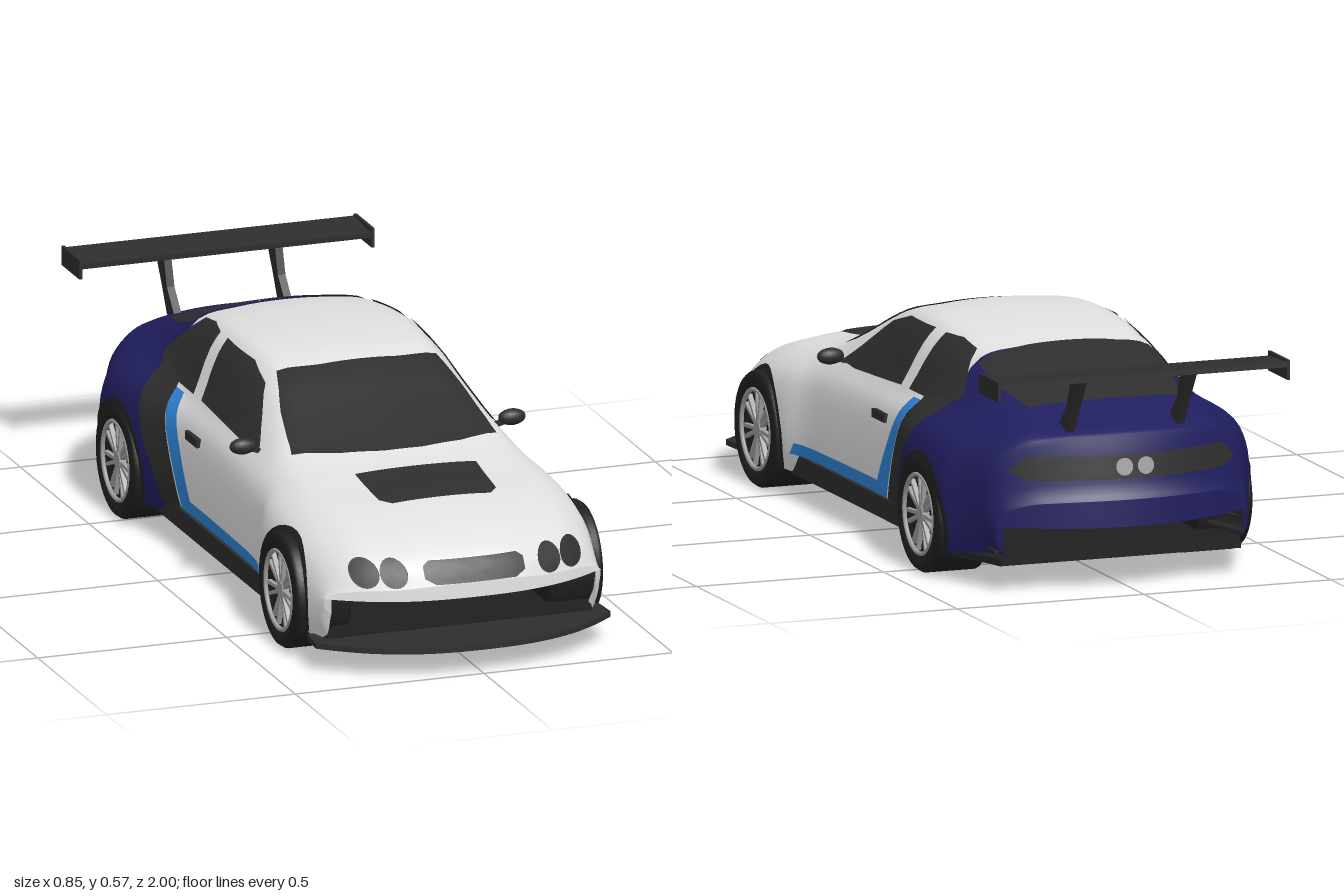
import * as THREE from 'three';
import { mergeVertices } from 'three/addons/utils/BufferGeometryUtils.js';

const paint = (name, color) => new THREE.MeshStandardMaterial({ name, color, side: THREE.DoubleSide });
const white = paint('white paint', 0xe0e0e0), navy = paint('navy paint', 0x201e5e);
const azure = paint('azure stripe', 0x2f86d8), dark = paint('dark trim', 0x2e2e2e);
const rubber = paint('rubber', 0x1f1f1f), silver = paint('silver', 0xa0a0a0);

// Smooth, overshoot-free curve through [z, value] pairs
function profile(p) {
  const slope = i => (p[i + 1][1] - p[i][1]) / (p[i + 1][0] - p[i][0]);
  const tangent = i => {
    if (i === 0) return slope(0);
    if (i === p.length - 1) return slope(i - 1);
    const a = slope(i - 1), b = slope(i);
    return a * b <= 0 ? 0 : 2 * a * b / (a + b);
  };
  return z => {
    let i = 0;
    while (i < p.length - 2 && z > p[i + 1][0]) i++;
    const h = p[i + 1][0] - p[i][0], t = THREE.MathUtils.clamp((z - p[i][0]) / h, 0, 1), s = 1 - t;
    return p[i][1] * (1 + 2 * t) * s * s + p[i + 1][1] * t * t * (3 - 2 * t)
      + h * (tangent(i) * t * s * s - tangent(i + 1) * t * t * s);
  };
}

// Body lines along the car: flank width, floor, centre ridge, window base, roof edge
const flank = profile([[-.96, .335], [-.8, .385], [-.68, .41], [-.55, .415], [-.42, .408], [-.32, .385], [-.2, .366],
  [0, .362], [.3, .364], [.38, .37], [.46, .39], [.6, .395], [.75, .393], [.95, .365]]);
const floorY = profile([[-.96, .1], [-.7, .075], [.88, .07], [.93, .09], [.95, .15]]);
const ridge = profile([[-.96, .235], [-.95, .25], [-.935, .3], [-.93, .36], [-.92, .39], [-.77, .44], [-.6, .5],
  [-.45, .547], [-.3, .568], [-.14, .576], [0, .568], [.09, .547], [.25, .475], [.38, .42], [.44, .402], [.5, .392],
  [.69, .368], [.81, .338], [.89, .3], [.93, .265], [.95, .225]]);
const beltY = profile([[-.96, .225], [-.95, .24], [-.935, .285], [-.93, .34], [-.91, .375], [-.85, .395], [-.6, .41],
  [-.45, .405], [-.2, .395], [0, .39], [.25, .38], [.42, .37], [.6, .355], [.8, .32], [.89, .285], [.93, .25], [.95, .212]]);
const beltX = profile([[-.96, .26], [-.75, .275], [-.6, .3], [-.45, .315], [-.2, .322], [.25, .32], [.42, .31], [.6, .3], [.95, .28]]);
const edgeX = profile([[-.96, .2], [-.75, .2], [-.6, .215], [-.45, .225], [-.2, .235], [.07, .225], [.25, .25], [.345, .27],
  [.45, .26], [.6, .2], [.95, .2]]);
const edgeDrop = profile([[-.96, .004], [-.9, .008], [-.75, .012], [-.6, .024], [-.45, .027], [.09, .025], [.25, .027],
  [.345, .03], [.42, .02], [.5, .014], [.95, .009]]);

// Rounds the nose and tail in plan
function bend(x, z) {
  const s = THREE.MathUtils.smoothstep;
  return z - .13 * s(z, .5, .95) * (Math.abs(x) / .39) ** 2.5 + .13 * s(-z, .6, .96) * (Math.abs(x) / .36) ** 2;
}

const WHEELS = [[.614, .3325], [-.53, .3475]];
const COLS = 56, ROWS = 92;

function bodyGeometry() {
  const pos = [], add = (x, y, z) => pos.push(x, y, bend(x, z));
  const section = (z, squash) => {
    const y0 = floorY(z), yb = beltY(z), w = flank(z), xb = beltX(z), yr = ridge(z), xe = edgeX(z), d = edgeDrop(z);
    const up = f => y0 + f * (yb - y0);
    const half = [[w - .015, y0], [w, up(.2)], [w, up(.6)], [xb + (w - xb) * .72, up(.84)], [xb, yb],
      [xe, yr - d], [xe * .55, yr - d * .25]];
    const ring = [...half, [0, yr], ...half.slice().reverse().map(([x, y]) => [-x, y])];
    const curve = new THREE.CatmullRomCurve3(ring.map(([x, y]) => new THREE.Vector3(x, y, 0)));
    for (let j = 0; j <= COLS; j++) {
      const p = curve.getPoint(j / COLS);
      add(p.x, squash ? (y0 + yr) / 2 : p.y, z + (squash || 0));
    }
  };
  section(-.96, -.003);
  for (let i = 0; i <= ROWS; i++) {
    let z = -.005 - .955 * Math.cos(Math.PI * i / ROWS);
    if (Math.abs(z + .46) < .016) z = -.46;
    section(z);
  }
  section(.95, .003);
  // Sort faces: white front, navy rear, open wheel wells
  const front = [], rear = [], well = [];
  const face = (...t) => {
    const [x, y, z] = [0, 1, 2].map(k => (pos[t[0] * 3 + k] + pos[t[1] * 3 + k] + pos[t[2] * 3 + k]) / 3);
    const split = y > .41 ? -.46 : -.23 - (y - .12) * .6;
    const inWell = Math.abs(x) > .3 && WHEELS.some(([wz]) => Math.hypot(z - wz, y - .15) < .12);
    (inWell ? well : z < split ? rear : front).push(...t);
  };
  for (let i = 0; i < ROWS + 2; i++) for (let j = 0; j < COLS; j++) {
    const a = i * (COLS + 1) + j, b = a + COLS + 1;
    face(a, a + 1, b);
    face(a + 1, b + 1, b);
  }
  const geo = new THREE.BufferGeometry();
  geo.setAttribute('position', new THREE.Float32BufferAttribute(pos, 3));
  geo.setIndex([...front, ...rear, ...well]);
  geo.computeVertexNormals();
  const probe = new THREE.Mesh(geo.clone(), white);
  geo.setIndex([...front, ...rear]);
  geo.addGroup(0, front.length, 0);
  geo.addGroup(front.length, rear.length, 1);
  return { geo, probe };
}

export function createModel() {
  const car = new THREE.Group();
  car.name = 'raceCar';
  const add = (name, geo, mat, parent = car) => {
    const m = new THREE.Mesh(geo, mat);
    m.name = name;
    parent.add(m);
    return m;
  };
  const box = (name, mat, size, at, parent) => {
    const m = add(name, new THREE.BoxGeometry(...size), mat, parent);
    m.position.set(...at);
    return m;
  };
  const shapeOf = pts => new THREE.Shape(pts.map(p => new THREE.Vector2(...p)));
  const { geo, probe } = bodyGeometry();
  add('bodyShell', geo, [white, navy]);

  // Thin panels laid onto the body along a viewing direction
  const views = {
    side: [(u, v) => [2, v, u], [-1, 0, 0]], top: [(u, v) => [u, 2, v], [0, -1, 0]],
    front: [(u, v) => [u, v, 2], [0, 0, -1]], back: [(u, v) => [u, v, -2], [0, 0, 1]],
  };
  const ray = new THREE.Raycaster();
  function panel(name, view, shape, mat, mirror = false, lift = .004) {
    const flat = new THREE.ShapeGeometry(Array.isArray(shape) ? shapeOf(shape) : shape, 10).toNonIndexed();
    const p = flat.attributes.position, tris = [];
    const split = (a, b, c) => {
      const l = [a.distanceTo(b), b.distanceTo(c), c.distanceTo(a)], m = Math.max(...l);
      if (m < .034) return tris.push(a, b, c);
      if (l[1] === m) [a, b, c] = [b, c, a];
      else if (l[2] === m) [a, b, c] = [c, a, b];
      const mid = a.clone().add(b).multiplyScalar(.5);
      split(a, mid, c);
      split(mid, b, c);
    };
    const vert = i => new THREE.Vector3().fromBufferAttribute(p, i);
    for (let i = 0; i < p.count; i += 3) split(vert(i), vert(i + 1), vert(i + 2));
    const g = mergeVertices(new THREE.BufferGeometry().setFromPoints(tris), 1e-5);
    const q = g.attributes.position, [at, dir] = views[view];
    let last = new THREE.Vector3(...at(q.getX(0), q.getY(0))).multiplyScalar(.4);
    for (let i = 0; i < q.count; i++) {
      for (const e of [0, 1e-3, -1e-3, 4e-3]) {
        ray.set(new THREE.Vector3(...at(q.getX(i) + e, q.getY(i) + e)), new THREE.Vector3(...dir));
        const hit = ray.intersectObject(probe, false)[0];
        if (hit) { last = hit.point.clone().addScaledVector(hit.face.normal, lift); break; }
      }
      q.setXYZ(i, last.x, last.y, last.z);
    }
    const flip = h => h.setIndex(Array.from(h.index.array).reverse());
    if (view !== 'front') flip(g);
    g.computeVertexNormals();
    add(name, g, mat);
    if (mirror) {
      const h = g.clone().scale(-1, 1, 1);
      flip(h);
      h.computeVertexNormals();
      add(name + 'Right', h, mat);
    }
  }
  const both = pts => [...pts, ...pts.slice().reverse().map(([x, y]) => [-x, y])];
  const disc = (x, y, r) => new THREE.Shape().absarc(x, y, r, 0, Math.PI * 2);

  // Glass
  panel('windscreen', 'top', both([[.1, .085], [.21, .07], [.245, .2], [.27, .345], [.16, .39], [.05, .41]]), dark);
  panel('rearWindow', 'top', both([[.1, -.465], [.235, -.475], [.232, -.6], [.2, -.73], [.08, -.745]]), dark);
  panel('doorWindow', 'side', [[.24, .386], [.18, .43], [.08, .51], [-.02, .54], [-.2, .545], [-.17, .4], [.14, .383]], dark, true);
  panel('quarterWindow', 'side', [[-.26, .543], [-.225, .4], [-.35, .4], [-.505, .42], [-.51, .435], [-.42, .53], [-.34, .543]], dark, true);
  // Side stripes and wheel arches
  panel('blueStripe', 'side', [[.43, .12], [.41, .15], [-.125, .155], [-.275, .39], [-.325, .39], [-.185, .12]], azure, true);
  panel('darkStripe', 'side', [[-.185, .1], [-.325, .39], [-.335, .41], [-.49, .42], [-.43, .35], [-.285, .1]], dark, true);
  for (const [z] of WHEELS) {
    const arch = new THREE.Shape().absarc(z, .15, .157, -.45, Math.PI + .45, false);
    arch.absarc(z, .15, .125, Math.PI + .45, -.45, true);
    panel('wheelArch', 'side', arch, rubber, true);
  }
  // Nose details
  panel('bonnetVent', 'top', both([[.16, .5], [.155, .66], [.13, .69]]), dark);
  panel('grille', 'front', both([[.115, .279], [.132, .268], [.132, .24], [.105, .225]]), dark);
  panel('lowerIntake', 'front', both([[.142, .155], [.197, .078]]), dark);
  panel('cornerVent', 'front', [[.327, .146], [.226, .146], [.207, .08], [.35, .083]], dark, true);
  for (const x of [.235, .275]) panel('ventSlat', 'front', [[x, .146], [x + .007, .146], [x - .006, .085], [x - .013, .085]], white, true, .008);
  for (const x of [.204, .271]) panel('headlight', 'front', disc(x, .252, .033), dark, true, .005);
  // Tail details
  panel('tailLightBand', 'back', both([[.26, .345], [.3, .305], [.26, .285]]), dark);
  panel('tailLamp', 'back', disc(.028, .315, .022), silver, true, .008);
  panel('rearValance', 'back', both([[.29, .14], [.29, .107]]), dark);

  // Floor and front splitter, cut in plan
  const slab = (name, pts, top, depth, mat) => {
    const g = new THREE.ExtrudeGeometry(shapeOf(pts), { depth, bevelEnabled: false });
    add(name, g.rotateX(Math.PI / 2).translate(0, top, 0), mat);
  };
  const outline = [], lip = [[.385, .77]];
  for (let i = 0; i <= 40; i++) {
    const z = -.945 + 1.87 * i / 40, x = flank(z) - .018;
    outline.push([x, bend(x, z)]);
  }
  for (let i = 0; i <= 10; i++) {
    const x = .39 * (1 - i / 10.5);
    lip.push([x, 1 - .15 * (x / .39) ** 2.5]);
  }
  slab('underside', both(outline), .082, .016, rubber);
  slab('frontSplitter', both(lip), .077, .014, dark);

  // Paired side parts
  for (const s of [1, -1]) {
    box('sideSill', dark, [.037, .053, .82], [s * .3535, .0915, .04]);
    box('doorHandle', dark, [.012, .022, .085], [s * .361, .318, -.125]);
    const mirror = add('wingMirror', new THREE.SphereGeometry(1, 16, 10), dark);
    mirror.scale.set(.036, .021, .02);
    mirror.position.set(s * .356, .403, .225);
    box('mirrorStalk', dark, [.05, .012, .015], [s * .325, .391, .225]).rotation.z = s * .3;
    box('wingEndPlate', dark, [.008, .05, .13], [s * .387, .542, -.935]);
    const strut = shapeOf([[-.81, .4], [-.875, .4], [-.915, .47], [-.965, .548], [-.9, .548], [-.875, .47]]);
    const g = new THREE.ExtrudeGeometry(strut, { depth: .02, bevelEnabled: false });
    add('wingStrut', g.rotateY(-Math.PI / 2).translate(s * .147 + .01, 0, 0), dark);
    // Wheels: tyre with recessed rim, paired spokes, hub
    for (const [z, x] of WHEELS) {
      const wheel = new THREE.Group();
      wheel.name = 'wheel';
      wheel.position.set(s * x, .148, z);
      if (s < 0) wheel.rotation.y = Math.PI;
      car.add(wheel);
      const tyre = [[0, -.0725], [.135, -.0725], [.147, -.064], [.147, .062], [.14, .0725], [.106, .0725], [.102, .05], [0, .05]];
      add('tyre', new THREE.LatheGeometry(tyre.map(p => new THREE.Vector2(...p)), 40).rotateZ(-Math.PI / 2), rubber, wheel);
      add('rim', new THREE.TorusGeometry(.1, .006, 8, 40).rotateY(Math.PI / 2).translate(.069, 0, 0), silver, wheel);
      add('hub', new THREE.CylinderGeometry(.022, .022, .02, 16).rotateZ(-Math.PI / 2).translate(.058, 0, 0), silver, wheel);
      for (let k = 0; k < 14; k++) {
        const a = (Math.floor(k / 2) + (k % 2 ? .17 : -.17)) * Math.PI * 2 / 7;
        add('spoke', new THREE.BoxGeometry(.012, .085, .009).translate(.06, .058, 0).rotateX(a), silver, wheel);
      }
    }
  }
  // Rear wing blade
  box('rearWing', dark, [.77, .014, .125], [0, .552, -.936]).rotation.x = .06;
  return car;
}
